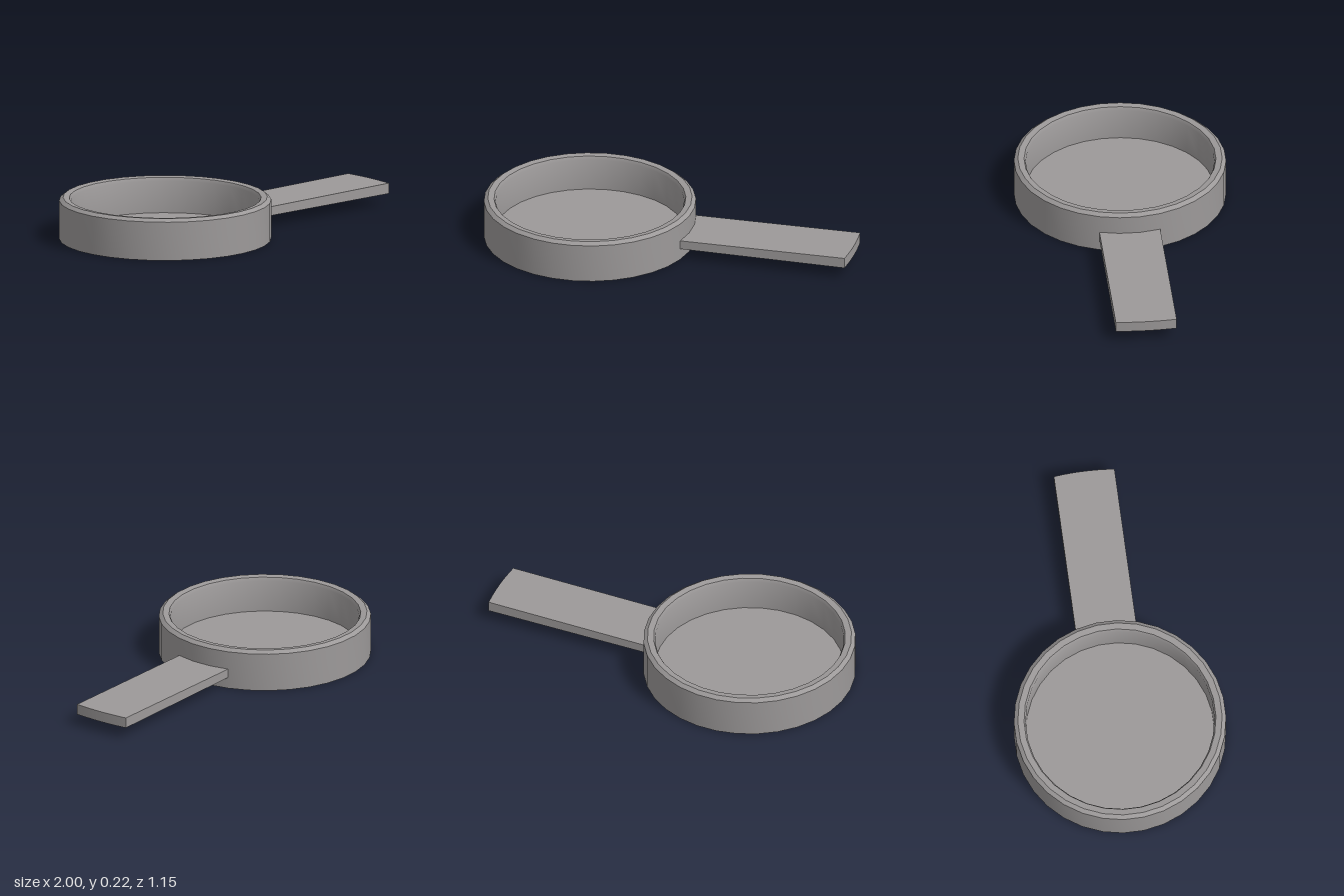
import * as THREE from 'three';
import { toCreasedNormals } from 'three/addons/utils/BufferGeometryUtils.js';

const metal = new THREE.MeshStandardMaterial({ color: 0x9c9999 });
metal.name = 'grey metal';

// Round pan: base, outer wall, softened rim, chamfered lip, inner wall, floor
function panGeometry() {
  const profile = [
    [0, 0], [0.566, 0], [0.566, 0.209], [0.545, 0.225], [0.512, 0.221],
    [0.503, 0.203], [0.503, 0.03], [0, 0.03],
  ].map(([r, y]) => new THREE.Vector2(r, y));
  return toCreasedNormals(new THREE.LatheGeometry(profile, 32), 0.5);
}

// Flat handle: parallel sides, both ends curved about the pan centre
function handleGeometry() {
  const half = 0.163, inner = 0.54, outer = 1.457;
  const a = Math.asin(half / inner), b = Math.asin(half / outer);
  const shape = new THREE.Shape();
  shape.absarc(0, 0, outer, -b, b, false);
  shape.absarc(0, 0, inner, a, -a, true);
  shape.closePath();
  const geo = new THREE.ExtrudeGeometry(shape, { depth: 0.048, bevelEnabled: false, curveSegments: 6 });
  geo.rotateX(-Math.PI / 2);
  // the top face rises slightly towards the tip
  const pos = geo.attributes.position;
  for (let i = 0; i < pos.count; i++) {
    if (pos.getY(i) > 0.02) pos.setY(i, 0.048 + 0.009 * (pos.getX(i) - inner) / (outer - inner));
  }
  return toCreasedNormals(geo, 0.4);
}

export function createModel() {
  const model = new THREE.Group();
  model.name = 'handledPan';
  model.position.set(0, 0, 0);

  const pan = new THREE.Mesh(panGeometry(), metal);
  pan.name = 'panBody';
  pan.position.set(-0.434, 0, 0.004);

  const handle = new THREE.Mesh(handleGeometry(), metal);
  handle.name = 'handle';
  handle.position.set(-0.434, 0.062, 0.004);
  handle.rotation.y = THREE.MathUtils.degToRad(17);

  model.add(pan, handle);
  return model;
}
